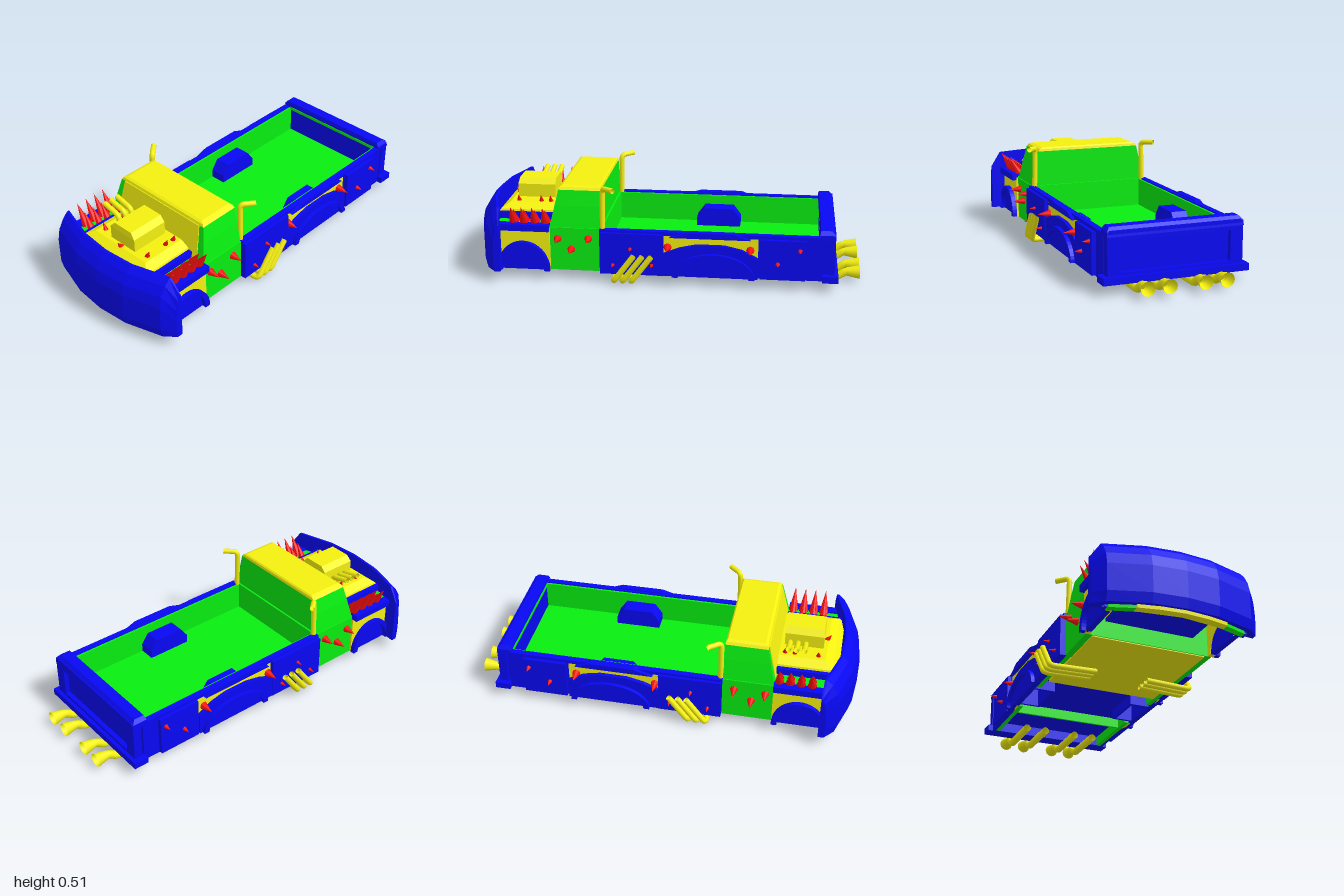
import * as THREE from 'three';

const mat = (color, flatShading = true) =>
  new THREE.MeshStandardMaterial({ color, flatShading, side: THREE.DoubleSide });
const BLUE = mat(0x0808f4), YELLOW = mat(0xf4f010), GREEN = mat(0x08ee10), RED = mat(0xff1010);
const PIPE = mat(0xf4f010, false);

export function createModel() {
  const truck = new THREE.Group();
  const add = (name, geo, material) => {
    const m = new THREE.Mesh(geo, material);
    m.name = name;
    truck.add(m);
    return m;
  };
  // box given by its limits
  const box = (name, material, x0, x1, y0, y1, z0, z1) =>
    add(name, new THREE.BoxGeometry(x1 - x0, y1 - y0, z1 - z0), material)
      .position.set((x0 + x1) / 2, (y0 + y1) / 2, (z0 + z1) / 2);
  const poly = pts => new THREE.Shape(pts.map(p => new THREE.Vector2(...p)));
  // horizontal plate from its +x half outline (x, z), top at y
  const plate = (name, material, half, y, depth) => {
    const shape = poly([...half, ...half.map(([x, z]) => [-x, z]).reverse()]);
    const g = new THREE.ExtrudeGeometry(shape, { depth, bevelEnabled: false });
    add(name, g.rotateX(Math.PI / 2).translate(0, y, 0), material);
  };
  // (z, y) outline made solid between two distances from the centre line, on side s
  const sidePanel = (name, material, shape, s, x0, x1) => {
    const g = new THREE.ExtrudeGeometry(shape, { depth: x1 - x0, bevelEnabled: false, curveSegments: 12 });
    add(name, g.rotateY(-Math.PI / 2).translate(s > 0 ? x1 : -x0, 0, 0), material);
  };
  // rectangle from z0 to z1 with a wheel arch cut in its lower edge
  const archedPanel = (z0, z1, y0, y1, cz, rx, ry) => {
    const p = new THREE.Shape().moveTo(z0, y0);
    p.lineTo(cz - rx, y0).absellipse(cz, y0, rx, ry, Math.PI, 0, true);
    return p.lineTo(z1, y0).lineTo(z1, y1).lineTo(z0, y1).closePath();
  };
  const archFill = (cz, y0, rx, ry) => new THREE.Shape().absellipse(cz, y0, rx, ry, 0, Math.PI, false);
  const archFlare = (cz, y0, rx, ry, t) => {
    const p = archFill(cz, y0, rx, ry);
    p.lineTo(cz - rx + t, y0).absellipse(cz, y0, rx - t, ry - t * 0.8, Math.PI, 0, true);
    return p.closePath();
  };
  // skin over a row of rings, each turning anticlockwise about the row's direction
  const loft = (name, material, rings) => {
    const n = rings[0].length, last = (rings.length - 1) * n, idx = [];
    for (let i = 0; i < rings.length - 1; i++)
      for (let j = 0; j < n; j++) {
        const a = i * n + j, b = i * n + (j + 1) % n;
        idx.push(a, b, b + n, a, b + n, a + n);
      }
    for (let j = 1; j < n - 1; j++) idx.push(0, j + 1, j, last, last + j, last + j + 1);
    const g = new THREE.BufferGeometry();
    g.setAttribute('position', new THREE.Float32BufferAttribute(rings.flat(2), 3));
    g.setIndex(idx);
    g.computeVertexNormals();
    add(name, g, material);
  };
  const rectRing = (y, x, z0, z1) => [[-x, y, z0], [-x, y, z1], [x, y, z1], [x, y, z0]];
  // pipe along straight runs with rounded corners
  const pipe = (name, pts, r, bend = 0.025) => {
    const v = pts.map(p => new THREE.Vector3(...p)), path = new THREE.CurvePath();
    let from = v[0];
    for (let i = 1; i < v.length - 1; i++) {
      const a = v[i].clone().add(v[i - 1].clone().sub(v[i]).setLength(bend));
      const b = v[i].clone().add(v[i + 1].clone().sub(v[i]).setLength(bend));
      path.add(new THREE.LineCurve3(from, a));
      path.add(new THREE.QuadraticBezierCurve3(a, v[i], b));
      from = b;
    }
    path.add(new THREE.LineCurve3(from, v[v.length - 1]));
    add(name, new THREE.TubeGeometry(path, 32, r, 10), PIPE);
  };
  const spike = (pos, dir, r, h) => {
    const m = add('spike', new THREE.ConeGeometry(r, h, 8).translate(0, h / 2, 0), RED);
    m.position.set(...pos);
    m.quaternion.setFromUnitVectors(new THREE.Vector3(0, 1, 0), new THREE.Vector3(...dir).normalize());
  };

  // front plow: half width, front z, back z, top y at each station
  const stations = [[0, 1, 0.915, 0.4], [0.17, 0.985, 0.9, 0.4], [0.37, 0.925, 0.84, 0.4], [0.425, 0.87, 0.835, 0.32]];
  const plowRing = ([x, f, b, t], s) => {
    const d = f - b;
    return [[0.07, b], [t, b], [t, f - d * 0.85], [t - 0.03, f - d * 0.5], [t - 0.08, f - d * 0.15],
      [t - 0.14, f], [0.12, f], [0.07, f - d * 0.15]].map(([y, z]) => [s * x, y, z]);
  };
  loft('frontPlow', BLUE, [...stations.slice(1).reverse().map(p => plowRing(p, -1)), ...stations.map(p => plowRing(p, 1))]);
  plate('frontValance', GREEN, [[0, 0.925], [0.17, 0.91], [0.35, 0.855], [0.35, 0.89], [0.17, 0.95], [0, 0.965]], 0.08, 0.026);
  plate('valanceCentre', YELLOW, [[0, 0.93], [0.23, 0.9], [0.23, 0.94], [0.12, 0.962], [0, 0.972]], 0.08, 0.028);

  // engine bay, hood and scoop
  box('engineBay', YELLOW, -0.235, 0.235, 0.16, 0.31, 0.59, 0.9);
  box('engineBayUnderside', BLUE, -0.235, 0.235, 0.145, 0.16, 0.59, 0.9);
  loft('hood', YELLOW, [rectRing(0.31, 0.235, 0.59, 0.9), rectRing(0.345, 0.225, 0.59, 0.87), rectRing(0.37, 0.18, 0.59, 0.83)]);
  loft('hoodScoop', YELLOW, [rectRing(0.36, 0.085, 0.61, 0.81), rectRing(0.44, 0.085, 0.61, 0.81), rectRing(0.47, 0.058, 0.61, 0.805)]);
  for (const z of [0.64, 0.68, 0.72])
    pipe('hoodPipe', [[-0.125, 0.35, z], [-0.125, 0.425, z], [-0.23, 0.45, z]], 0.014);

  // cab
  box('cabBase', GREEN, -0.335, 0.335, 0.06, 0.29, 0.33, 0.59);
  loft('cabTop', GREEN, [rectRing(0.29, 0.33, 0.33, 0.592), rectRing(0.4, 0.31, 0.33, 0.566), rectRing(0.48, 0.292, 0.33, 0.548)]);
  loft('roof', YELLOW, [rectRing(0.48, 0.292, 0.33, 0.548), rectRing(0.493, 0.283, 0.333, 0.543), rectRing(0.5, 0.265, 0.34, 0.53)]);
  loft('windshield', YELLOW, [rectRing(0.3, 0.285, 0.56, 0.594), rectRing(0.48, 0.265, 0.52, 0.552)]);

  // bed floor, notched around the wheel wells, and the underbody
  const bedHalf = [[0.31, -0.8], [0.31, -0.36], [0.22, -0.36], [0.22, -0.12], [0.31, -0.12], [0.31, 0.33]];
  plate('bedFloor', GREEN, bedHalf, 0.135, 0.012);
  plate('bedUnderside', BLUE, bedHalf, 0.123, 0.01);
  box('underbody', YELLOW, -0.3, 0.3, 0.055, 0.068, 0, 0.585);
  sidePanel('axleTunnelFront', BLUE, poly([[0, 0.06], [0.01, 0.06], [-0.09, 0.12], [-0.1, 0.12]]), 1, -0.305, 0.305);
  box('crossMember', GREEN, -0.305, 0.305, 0.06, 0.12, -0.486, -0.474);
  box('bedFrontWall', GREEN, -0.31, 0.31, 0.06, 0.29, 0.32, 0.335);

  // tailgate, narrower than the bumper under it
  box('tailgateInner', BLUE, -0.33, 0.33, 0.06, 0.3, -0.84, -0.795);
  box('tailgateLip', GREEN, -0.31, 0.31, 0.275, 0.292, -0.8, -0.787);
  const frame = poly([[-0.345, 0.06], [0.345, 0.06], [0.345, 0.29], [0.335, 0.31], [-0.335, 0.31], [-0.345, 0.29]]);
  frame.holes.push(poly([[-0.28, 0.11], [-0.28, 0.26], [0.28, 0.26], [0.28, 0.11]]));
  add('tailgateFrame', new THREE.ExtrudeGeometry(frame, { depth: 0.045, bevelEnabled: false }).translate(0, 0, -0.865), BLUE);
  loft('tailgateCap', BLUE, [rectRing(0.28, 0.348, -0.867, -0.795), rectRing(0.305, 0.346, -0.863, -0.785), rectRing(0.325, 0.33, -0.845, -0.79)]);
  box('rearBumper', BLUE, -0.372, 0.372, 0.06, 0.095, -0.885, -0.805);

  const wellOuter = [[-0.36, 0.06], [-0.12, 0.06], [-0.12, 0.18], [-0.16, 0.235], [-0.32, 0.235], [-0.36, 0.18]];
  const wellInner = [[-0.345, 0.06], [-0.345, 0.175], [-0.315, 0.22], [-0.165, 0.22], [-0.135, 0.175], [-0.135, 0.06]];
  for (const s of [1, -1]) {
    const span = (a, b) => (s > 0 ? [a, b] : [-b, -a]);

    // front fender, closed arch and blue trim
    box('fenderTop', GREEN, ...span(0.235, 0.335), 0.27, 0.3, 0.59, 0.87);
    sidePanel('fenderSide', YELLOW, archedPanel(0.59, 0.87, 0.06, 0.29, 0.73, 0.11, 0.12), s, 0.315, 0.345);
    sidePanel('frontArchFlare', BLUE, archFlare(0.73, 0.06, 0.14, 0.155, 0.03), s, 0.325, 0.37);
    sidePanel('frontArchFill', BLUE, archFill(0.73, 0.06, 0.13, 0.145), s, 0.318, 0.346);
    box('fenderRail', BLUE, ...span(0.325, 0.37), 0.275, 0.31, 0.59, 0.87);
    box('hoodEdge', BLUE, ...span(0.228, 0.25), 0.28, 0.335, 0.59, 0.88);
    box('fenderNose', BLUE, ...span(0.3, 0.365), 0.06, 0.28, 0.85, 0.88);

    // bed side: inner wall, outer panels, rail and closed rear arch
    sidePanel('bedWall', GREEN, archedPanel(-0.8, 0.33, 0.06, 0.285, -0.24, 0.145, 0.13), s, 0.305, 0.33);
    sidePanel('bedMidPanel', YELLOW, archedPanel(-0.48, 0, 0.06, 0.28, -0.24, 0.145, 0.13), s, 0.33, 0.342);
    box('bedFrontPanel', BLUE, ...span(0.33, 0.365), 0.06, 0.28, 0, 0.328);
    box('bedRearPanel', BLUE, ...span(0.33, 0.345), 0.06, 0.285, -0.81, -0.48);
    box('bedRearPlate', BLUE, ...span(0.34, 0.367), 0.065, 0.275, -0.72, -0.49);
    box('bedRail', BLUE, ...span(0.316, 0.348), 0.272, 0.292, -0.8, 0.33);
    sidePanel('railBulge', BLUE, poly([[-0.44, 0.268], [-0.03, 0.268], [-0.13, 0.298], [-0.36, 0.298]]), s, 0.33, 0.365);
    const dome = poly([[-0.48, 0.06], [0, 0.06], [0, 0.18], [-0.08, 0.212], [-0.17, 0.232], [-0.31, 0.232], [-0.4, 0.212], [-0.48, 0.17]]);
    sidePanel('rearFender', BLUE, dome, s, 0.33, 0.362);
    sidePanel('rearArchFlare', BLUE, archFlare(-0.255, 0.06, 0.21, 0.13, 0.03), s, 0.35, 0.382);
    sidePanel('rearWheelWellCap', BLUE, poly(wellOuter), s, 0.22, 0.235);
    sidePanel('rearWheelWell', BLUE, poly([[-0.36, 0.06], ...wellInner, ...wellOuter.slice(1)]), s, 0.235, 0.33);

    // exhausts: cab stacks, side pipes and flared rear pipes
    pipe('cabStack', [[s * 0.32, 0.28, 0.318], [s * 0.314, 0.502, 0.315], [s * 0.366, 0.505, 0.255]], 0.014);
    for (const z of [0.255, 0.21, 0.165])
      pipe('sidePipe', [[s * 0.14, 0.035, z], [s * 0.388, 0.027, z], [s * 0.392, 0.17, z - 0.105]], 0.015);
    for (const x of [0.09, 0.2]) {
      pipe('rearPipe', [[s * x, 0.03, -0.61], [s * x, 0.03, -0.88], [s * x, 0.06, -0.925], [s * x, 0.062, -0.95]], 0.021, 0.012);
      const flare = new THREE.CylinderGeometry(0.036, 0.021, 0.07, 12, 1, true).rotateX(-Math.PI / 2);
      add('rearPipeFlare', flare.translate(s * x, 0.062, -0.965), PIPE);
    }

    // spikes: z, y, base radius, distance out
    const bodySpikes = [[0.55, 0.23, 0.022, 0.33], [0.39, 0.235, 0.022, 0.33], [0.48, 0.175, 0.022, 0.33],
      [0.17, 0.2, 0.012, 0.355], [0.26, 0.11, 0.012, 0.355], [0.06, 0.115, 0.012, 0.355],
      [-0.02, 0.21, 0.022, 0.34], [-0.44, 0.21, 0.022, 0.34], [-0.58, 0.15, 0.014, 0.36], [-0.69, 0.225, 0.014, 0.36]];
    for (const [z, y, r, x] of bodySpikes) spike([s * x, y, z], [s, 0, 0], r, r > 0.02 ? 0.07 : 0.045);
    for (const z of [0.615, 0.67, 0.725, 0.78]) {
      spike([s * 0.315, 0.3, z], [s * 0.6, 1, 0], 0.026, 0.125);
      spike([s * 0.275, 0.295, z], [s * 0.6, 1, 0], 0.022, 0.1);
    }
    for (const z of [0.62, 0.67, 0.79]) spike([s * 0.15, 0.365, z], [s * 0.4, 1, 0], 0.014, 0.045);
  }
  spike([0, 0.36, 0.82], [0, 1, 0.6], 0.016, 0.045);
  return truck;
}
